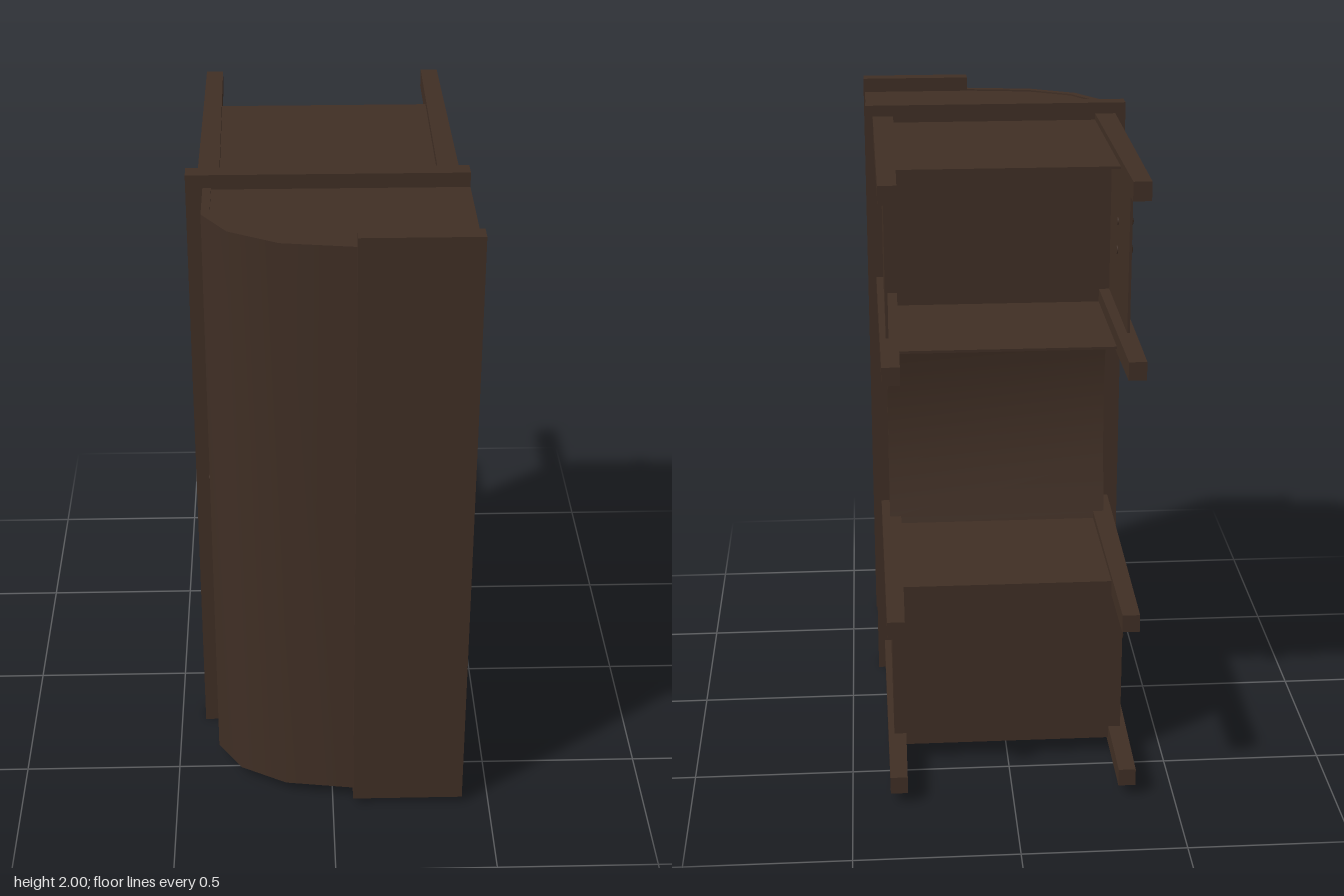
import * as THREE from 'three';
import { toCreasedNormals } from 'three/addons/utils/BufferGeometryUtils.js';

export function createModel() {
  const root = new THREE.Group();
  const wood = new THREE.MeshStandardMaterial({ color: 0x3f2e24 });
  wood.name = 'dark wood';

  const add = (name, geometry) => {
    const mesh = new THREE.Mesh(geometry, wood);
    mesh.name = name;
    root.add(mesh);
    return mesh;
  };
  const box = (name, x0, x1, y0, y1, z0, z1) =>
    add(name, new THREE.BoxGeometry(x1 - x0, y1 - y0, z1 - z0)
      .translate((x0 + x1) / 2, (y0 + y1) / 2, (z0 + z1) / 2));
  const extrude = (points, depth) => new THREE.ExtrudeGeometry(
    new THREE.Shape(points.map(([a, b]) => new THREE.Vector2(a, b))),
    { depth, bevelEnabled: false });
  // Extrudes an (x, z) outline from y0 to y1
  const upright = (name, points, y0, y1) => add(name, toCreasedNormals(
    extrude(points, y1 - y0).rotateX(Math.PI / 2).translate(0, y1, 0), 0.75));

  // Desk top slab and the narrow shelf above the roll cover
  box('deskTop', -0.42, 0.41, 0, 2, 0.2, 0.255);
  box('topShelf', 0.065, 0.415, 0.02, 2, 0.64, 0.695);

  // Roll cover: a solid core with a slightly longer curved shell
  const outer = [[-0.37, 0.25], [-0.37, 0.44], [-0.295, 0.555], [-0.15, 0.635], [0.08, 0.667]];
  const inner = [[-0.345, 0.25], [-0.345, 0.433], [-0.278, 0.535], [-0.142, 0.612], [0.08, 0.643]];
  upright('rollBody', [...inner, [0.41, 0.643], [0.41, 0.25]], 0.045, 1.955);
  upright('rollCover', [...outer, ...inner.slice().reverse()], 0.04, 1.96);

  // Tapered legs, narrowing on one long edge
  const leg = (side, y0, y1, taper) => {
    const g = new THREE.BoxGeometry(0.065, y1 - y0, 0.9);
    const p = g.attributes.position;
    for (let i = 0; i < p.count; i++) {
      const tip = p.getZ(i) < 0;
      if (tip) p.setX(i, p.getX(i) * 0.82);
      if (tip && p.getY(i) * taper > 0) p.setY(i, p.getY(i) - taper * 0.014);
    }
    g.computeVertexNormals();
    add('leg', g.translate(side * 0.355, (y0 + y1) / 2, -0.245));
  };
  for (const side of [-1, 1]) {
    leg(side, 1.895, 1.965, -1);
    leg(side, 1.365, 1.435, -1);
    leg(side, 0.57, 0.64, 1);
    leg(side, 0.035, 0.105, 1);
  }

  // Closed drawer pedestal, and a matching one left open at its far end
  box('drawerPedestal', -0.365, 0.365, 0.055, 0.615, -0.432, 0.205);
  const y0 = 1.385, y1 = 1.945, t = 0.008;
  box('openPedestalFront', -0.365, -0.365 + t, y0, y1, -0.432, 0.205);
  box('openPedestalRear', 0.365 - t, 0.365, y0, y1, -0.432, 0.205);
  box('openPedestalInnerSide', -0.36, 0.36, y0, y0 + t, -0.432, 0.205);
  box('openPedestalOuterSide', -0.36, 0.36, y1 - t, y1, -0.432, 0.205);
  box('openPedestalInside', -0.36, 0.36, y0, y1, 0.02, 0.205);

  // Arched apron over the knee space
  const arch = [[0.2, 0.61], [0.058, 0.61], [0.065, 0.635], [0.11, 0.8], [0.135, 1],
    [0.11, 1.2], [0.065, 1.365], [0.058, 1.39], [0.2, 1.39]];
  add('kneeArch', toCreasedNormals(
    extrude(arch, 0.72).rotateY(-Math.PI / 2).translate(0.36, 0, 0), 0.6));

  // Drawer knobs in pairs, and the single knob on the roll cover
  const knob = (name, x, y, z, r) => {
    add(name, new THREE.SphereGeometry(r, 8, 6).rotateZ(Math.PI / 2).translate(x, y, z));
    add(name + 'Stem', new THREE.CylinderGeometry(r * 0.5, r * 0.5, 0.03, 8)
      .rotateZ(Math.PI / 2).translate(x + 0.012, y, z));
  };
  for (const yc of [0.335, 1.665])
    for (const z of [-0.17, 0.085])
      for (const dy of [-0.045, 0.045]) knob('drawerKnob', -0.38, yc + dy, z, 0.025);
  knob('coverKnob', -0.365, 1, 0.3, 0.015);

  return root;
}
